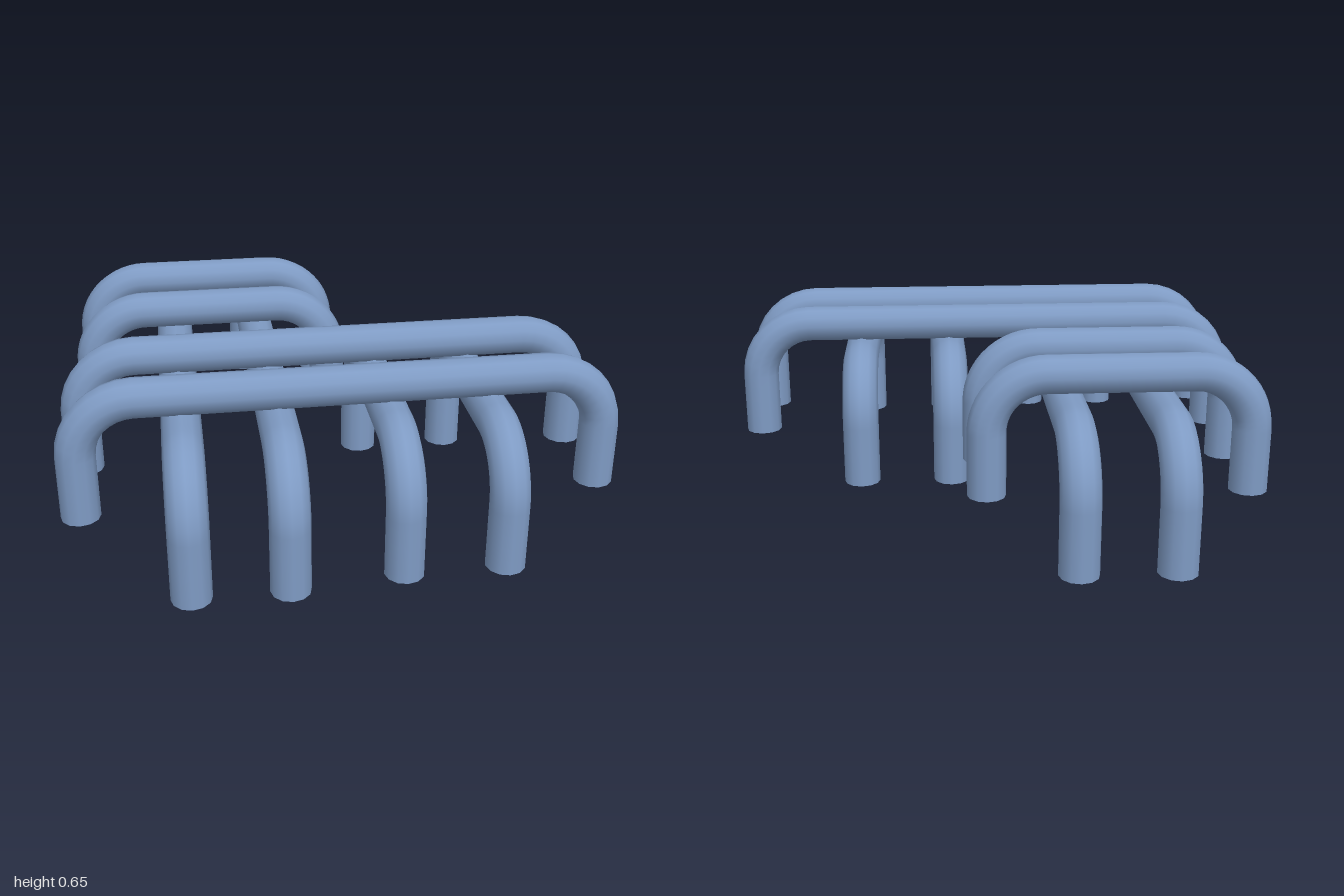
import * as THREE from 'three';

const RADIUS = 0.07, BEND = 0.21, SIDES = 12;

// Staple-shaped centre line in the XY plane: leg, bend, bar, bend, leg
function staplePath(a, b, bottom, top) {
  const v = (x, y) => new THREE.Vector3(x, y, 0);
  const k = BEND * 0.448; // control offset for a quarter circle
  const path = new THREE.CurvePath();
  path.add(new THREE.LineCurve3(v(a, bottom), v(a, top - BEND)));
  path.add(new THREE.CubicBezierCurve3(v(a, top - BEND), v(a, top - k), v(a + k, top), v(a + BEND, top)));
  path.add(new THREE.LineCurve3(v(a + BEND, top), v(b - BEND, top)));
  path.add(new THREE.CubicBezierCurve3(v(b - BEND, top), v(b - k, top), v(b, top - k), v(b, top - BEND)));
  path.add(new THREE.LineCurve3(v(b, top - BEND), v(b, bottom)));
  return path;
}

// Bent tube with flat closed feet
function makePipe(name, a, b, bottom, top, material) {
  const pipe = new THREE.Group();
  pipe.name = name;
  const tube = new THREE.Mesh(
    new THREE.TubeGeometry(staplePath(a, b, bottom, top), 64, RADIUS, SIDES), material);
  tube.name = 'bentTube';
  pipe.add(tube);
  for (const x of [a, b]) {
    const cap = new THREE.Mesh(new THREE.CircleGeometry(RADIUS, SIDES), material);
    cap.name = 'footCap';
    cap.rotation.x = Math.PI / 2;
    cap.position.set(x, bottom, 0);
    pipe.add(cap);
  }
  return pipe;
}

export function createModel() {
  const model = new THREE.Group();
  model.name = 'crossedPipes';
  const steelBlue = new THREE.MeshStandardMaterial({ color: 0x7f9bc4 });
  steelBlue.name = 'steelBlue';

  // Upper pipes running left to right
  for (const z of [0.22, 0.57]) {
    const pipe = makePipe('longCrossPipe', -0.93, 0.93, 0.13, 0.575, steelBlue);
    pipe.position.z = z;
    model.add(pipe);
  }
  for (const z of [-0.57, -0.21]) {
    const pipe = makePipe('shortCrossPipe', -0.89, 0.05, 0.14, 0.583, steelBlue);
    pipe.position.z = z;
    model.add(pipe);
  }

  // Lower pipes running front to back (local x becomes -z)
  for (const x of [-0.565, -0.235]) {
    const pipe = makePipe('longLengthwisePipe', -0.925, 0.93, 0, 0.45, steelBlue);
    pipe.rotation.y = Math.PI / 2;
    pipe.position.x = x;
    model.add(pipe);
  }
  for (const x of [0.16, 0.515]) {
    const pipe = makePipe('shortLengthwisePipe', -0.88, 0.06, 0, 0.45, steelBlue);
    pipe.rotation.y = Math.PI / 2;
    pipe.position.x = x;
    model.add(pipe);
  }
  return model;
}
